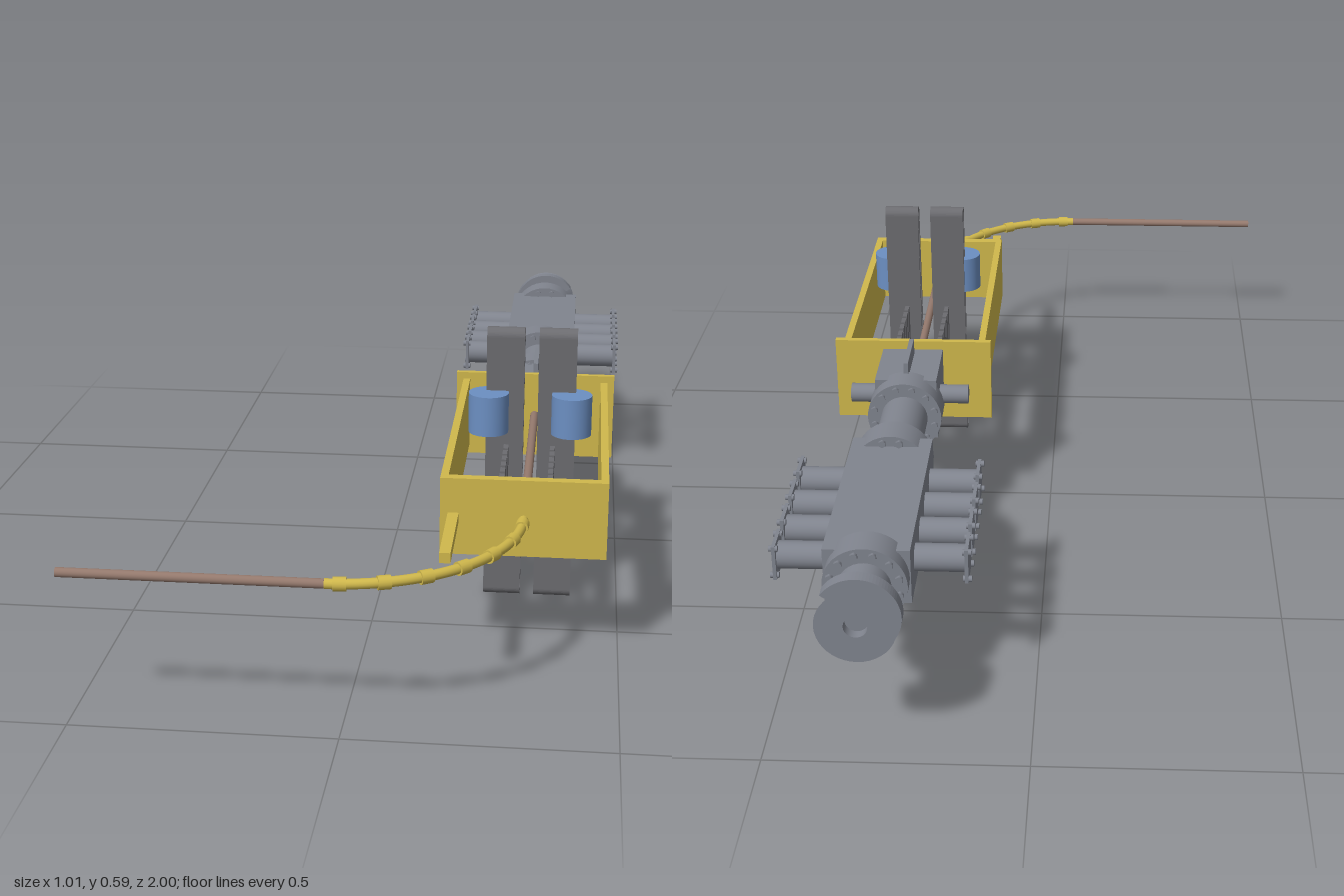
import * as THREE from 'three';

const AX = 0.31, AY = 0.3; // beam axis position

const mat = (color) => new THREE.MeshStandardMaterial({ color });

export function createModel() {
  const model = new THREE.Group();
  const yellow = mat(0xd0b84c), steel = mat(0x80848e), dark = mat(0x6c6c70);
  const blue = mat(0x6c8fc2), copper = mat(0x94796d);

  function add(name, geo, material, x = 0, y = 0, z = 0, parent = model) {
    const m = new THREE.Mesh(geo, material);
    m.name = name;
    m.position.set(x, y, z);
    parent.add(m);
    return m;
  }
  // Box given by its limits on each axis
  function box(name, material, x0, x1, y0, y1, z0, z1, parent) {
    return add(name, new THREE.BoxGeometry(x1 - x0, y1 - y0, z1 - z0), material,
      (x0 + x1) / 2, (y0 + y1) / 2, (z0 + z1) / 2, parent);
  }
  // Cylinder along z from z0 (back) to z1 (front)
  function rod(name, material, r, z0, z1, x = AX, y = AY, seg = 32, parent = model) {
    const g = new THREE.CylinderGeometry(r, r, z1 - z0, seg).rotateX(Math.PI / 2);
    return add(name, g, material, x, y, (z0 + z1) / 2, parent);
  }
  // Cylinder along x
  function crossRod(name, material, r, x0, x1, y, z, parent) {
    const g = new THREE.CylinderGeometry(r, r, x1 - x0, 24).rotateZ(Math.PI / 2);
    return add(name, g, material, (x0 + x1) / 2, y, z, parent);
  }

  // Open tray: four walls and a wider mounting plate at the back
  const tray = new THREE.Group();
  tray.name = 'tray';
  model.add(tray);
  box('sideWall', yellow, 0.15, 0.165, 0.22, 0.375, 0.005, 0.65, tray);
  box('sideWall', yellow, 0.455, 0.47, 0.22, 0.375, 0.005, 0.65, tray);
  box('frontWall', yellow, 0.165, 0.455, 0.22, 0.375, 0.63, 0.65, tray);
  box('mountingPlate', yellow, 0.135, 0.485, 0.2, 0.39, -0.003, 0.01, tray);
  box('stubBar', yellow, 0.165, 0.186, 0.285, 0.305, 0.65, 0.85, tray);

  // Two rows of upright slats inside the tray
  for (const x of [0.262, 0.357]) {
    for (let i = 0; i < 16; i++) {
      const z = 0.045 + i * 0.0347;
      box('slat', dark, x - 0.005, x + 0.005, 0.245, 0.34, z - 0.0125, z + 0.0125);
    }
  }

  // Tall hollow belt loops
  function stadium(path, r, half) {
    path.absarc(0, half, r, 0, Math.PI, false);
    path.absarc(0, -half, r, Math.PI, 2 * Math.PI, false);
    path.closePath();
    return path;
  }
  for (const x of [0.219, 0.325]) {
    const s = stadium(new THREE.Shape(), 0.018, 0.275);
    s.holes.push(stadium(new THREE.Path(), 0.009, 0.275));
    const g = new THREE.ExtrudeGeometry(s, { depth: 0.077, bevelEnabled: false, curveSegments: 10 });
    g.rotateY(Math.PI / 2);
    add('beltLoop', g, dark, x, 0.293, 0.326);
  }

  // Drive motors
  for (const x of [0.225, 0.394]) {
    add('motor', new THREE.CylinderGeometry(0.041, 0.041, 0.083, 32), blue, x, 0.414, 0.357);
  }

  // Long tube, curved sleeve with collars, and straight end tube
  const TY = 0.295, R = 0.335, CX = -0.025, CZ = 0.65;
  rod('innerTube', copper, 0.009, 0, 0.65, AX, TY, 16);
  const arc = [];
  for (let i = 0; i <= 24; i++) {
    const a = (i / 24) * Math.PI / 2;
    arc.push(new THREE.Vector3(CX + R * Math.cos(a), TY, CZ + R * Math.sin(a)));
  }
  add('curvedSleeve', new THREE.TubeGeometry(new THREE.CatmullRomCurve3(arc), 48, 0.0095, 16), yellow);
  for (let i = 0; i < 7; i++) {
    const a = THREE.MathUtils.degToRad(5 + i * 13.4);
    const g = new THREE.CylinderGeometry(0.013, 0.013, 0.024, 16).rotateX(Math.PI / 2).rotateY(-(Math.PI / 2 - a));
    g.rotateY(Math.PI / 2 - 2 * a + (a - Math.PI / 2) + a);
    const c = add('collar', new THREE.CylinderGeometry(0.013, 0.013, 0.024, 16).rotateX(Math.PI / 2), yellow,
      CX + R * Math.cos(a), TY, CZ + R * Math.sin(a));
    c.rotation.y = -a;
  }
  crossRod('endTube', copper, 0.009, -0.507, CX, TY, CZ + R);

  // Bolted round flange
  function flange(z0, z1) {
    const f = new THREE.Group();
    f.name = 'flange';
    model.add(f);
    rod('flangeDisc', steel, 0.08, z0, z1, AX, AY, 40, f);
    for (let i = 0; i < 12; i++) {
      const a = (i + 0.5) * Math.PI / 6;
      rod('bolt', steel, 0.008, z0 - 0.007, z1 + 0.007,
        AX + 0.067 * Math.cos(a), AY + 0.067 * Math.sin(a), 6, f);
    }
  }

  // Entry block with top fin and side ports
  box('entryBlock', steel, 0.243, 0.377, 0.23, 0.37, -0.16, -0.003);
  box('topFin', steel, 0.305, 0.315, 0.36, 0.405, -0.147, -0.022);
  crossRod('sidePort', steel, 0.021, 0.18, 0.44, 0.3, -0.083);

  // Beam pipe and its flanges
  flange(-0.2, -0.138);
  rod('frontPipe', steel, 0.05, -0.37, -0.2);
  flange(-0.437, -0.37);
  flange(-0.868, -0.805);
  rod('rearPipe', steel, 0.05, -0.97, -0.86);

  // Long chamber with four capped arms on each side
  box('chamber', steel, 0.228, 0.392, 0.243, 0.357, -0.835, -0.4);
  for (let i = 0; i < 4; i++) {
    const z = -0.472 - i * 0.0955;
    for (const s of [-1, 1]) {
      const arm = new THREE.Group();
      arm.name = 'chamberArm';
      arm.position.set(AX, 0.297, z);
      model.add(arm);
      const span = (a, b) => (s > 0 ? [a, b] : [-b, -a]);
      crossRod('armTube', steel, 0.027, ...span(0.07, 0.18), 0, 0, arm);
      const [p0, p1] = span(0.178, 0.185);
      box('endPlate', steel, p0, p1, -0.036, 0.036, -0.034, 0.034, arm);
      for (const y of [-0.029, 0.029]) for (const dz of [-0.027, 0.027]) {
        crossRod('plateBolt', steel, 0.006, ...span(0.174, 0.191), y, dz, arm);
      }
    }
  }

  // Small ports under the chamber
  for (const z of [-0.567, -0.755]) {
    add('underPort', new THREE.CylinderGeometry(0.012, 0.012, 0.03, 20), steel, AX, 0.236, z);
    add('underPortCap', new THREE.CylinderGeometry(0.019, 0.019, 0.01, 20), steel, AX, 0.223, z);
  }

  // Open clamp ring near the rear end
  const gap = 0.6;
  const ring = new THREE.Shape();
  ring.absarc(0, 0, 0.08, gap, 2 * Math.PI - gap, false);
  ring.absarc(0, 0, 0.046, 2 * Math.PI - gap, gap, true);
  ring.closePath();
  add('clampRing', new THREE.ExtrudeGeometry(ring, { depth: 0.027, bevelEnabled: false, curveSegments: 32 }),
    steel, AX, AY, -0.97);

  // Flared rear end with a central bore
  const flare = [[0.022, 0.02], [0.022, 0.04], [0.075, 0.04], [0.048, 0.01], [0.048, 0]]
    .map(([r, h]) => new THREE.Vector2(r, h)).reverse();
  const pts = [];
  // doubled points keep the rim crisp
  flare.forEach((p) => pts.push(p, p.clone()));
  const lathe = new THREE.LatheGeometry(pts, 40).rotateX(-Math.PI / 2);
  const end = add('rearFlare', lathe, steel, AX, AY, -0.96);
  end.material = steel.clone();
  end.material.side = THREE.DoubleSide;

  return model;
}
